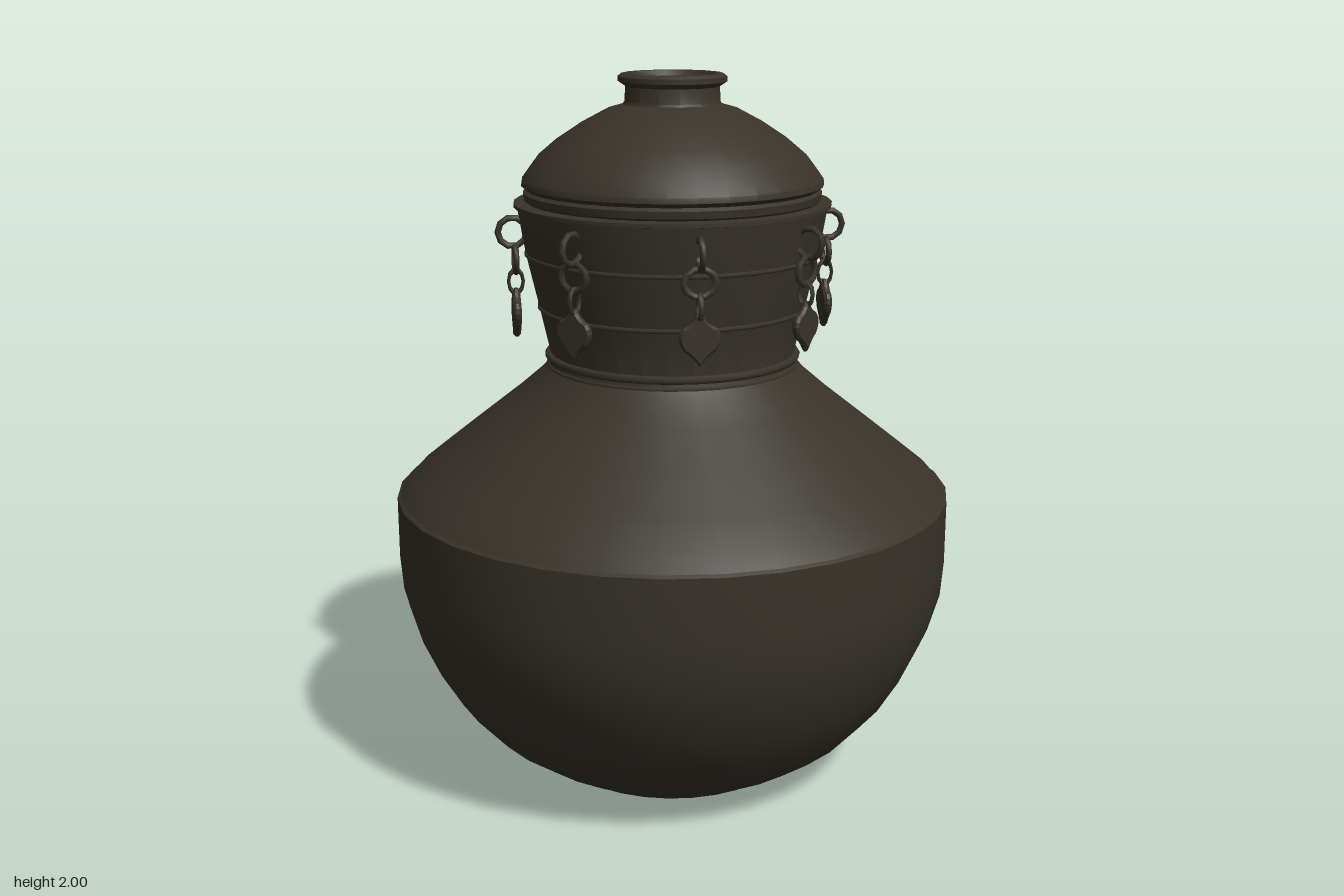
import * as THREE from 'three';
import { toCreasedNormals } from 'three/addons/utils/BufferGeometryUtils.js';

const bronze = new THREE.MeshStandardMaterial({ color: 0x38332a, side: THREE.DoubleSide });

function part(name, geometry, parent) {
  const mesh = new THREE.Mesh(geometry, bronze);
  mesh.name = name;
  parent.add(mesh);
  return mesh;
}

// Turned part from [radius, height] pairs, listed from bottom to top
function turned(name, profile, sides, parent) {
  const points = profile.map(([r, y]) => new THREE.Vector2(r, y));
  return part(name, toCreasedNormals(new THREE.LatheGeometry(points, sides), 0.5), parent);
}

// Flat leaf-shaped pendant with a pointed top and tip
function pendantGeometry() {
  const s = new THREE.Shape();
  s.moveTo(0, -0.072);
  s.quadraticCurveTo(0.022, -0.042, 0.042, -0.03);
  s.quadraticCurveTo(0.068, 0.005, 0.045, 0.03);
  s.quadraticCurveTo(0.015, 0.042, 0.01, 0.065);
  s.lineTo(-0.01, 0.065);
  s.quadraticCurveTo(-0.015, 0.042, -0.045, 0.03);
  s.quadraticCurveTo(-0.068, 0.005, -0.042, -0.03);
  s.quadraticCurveTo(-0.022, -0.042, 0, -0.072);
  const g = new THREE.ExtrudeGeometry(s, {
    depth: 0.008, curveSegments: 4, bevelEnabled: true,
    bevelThickness: 0.007, bevelSize: 0.006, bevelOffset: -0.006, bevelSegments: 1,
  });
  return g.translate(0, 0, -0.004);
}

export function createModel() {
  const model = new THREE.Group();
  model.name = 'lidded vessel';

  // Rounded bowl with a flat base
  turned('bowl', [
    [0, 0], [0.35, 0], [0.36, 0.012], [0.46, 0.065], [0.55, 0.13], [0.64, 0.23], [0.70, 0.33],
    [0.75, 0.44], [0.782, 0.55], [0.79, 0.65], [0.79, 0.825], [0.78, 0.832],
  ], 32, model);

  // Sloping shoulder
  turned('shoulder', [
    [0.785, 0.825], [0.75, 0.865], [0.67, 0.93], [0.57, 1.01], [0.45, 1.105],
    [0.38, 1.165], [0.355, 1.195],
  ], 32, model);

  // Flared collar and its raised bands
  turned('collar', [
    [0.355, 1.19], [0.345, 1.225], [0.375, 1.36], [0.41, 1.51], [0.432, 1.64],
    [0.442, 1.642], [0.442, 1.652], [0.40, 1.655],
  ], 32, model);
  for (const [r, y, t] of [[0.35, 1.222, 0.012], [0.35, 1.195, 0.008], [0.374, 1.36, 0.007], [0.408, 1.51, 0.007]]) {
    const band = part('collarBand', new THREE.TorusGeometry(r, t, 6, 32), model);
    band.rotation.x = Math.PI / 2;
    band.position.y = y;
  }

  // Domed lid with a stepped rim
  turned('lid', [
    [0.40, 1.65], [0.412, 1.66], [0.415, 1.68], [0.405, 1.688], [0.42, 1.70], [0.418, 1.715],
    [0.40, 1.74], [0.37, 1.78], [0.32, 1.822], [0.25, 1.868], [0.18, 1.905], [0.12, 1.922],
  ], 32, model);

  // Short hollow mouth on top
  turned('mouth', [
    [0.138, 1.915], [0.132, 1.925], [0.13, 1.965], [0.15, 1.978], [0.15, 1.992],
    [0.14, 2], [0.122, 2], [0.112, 1.985], [0.108, 1.92], [0, 1.915],
  ], 14, model);

  // Eight hanging pendants around the collar
  const loopGeometry = new THREE.TorusGeometry(0.04, 0.009, 6, 10);
  const linkGeometry = new THREE.TorusGeometry(0.037, 0.009, 6, 10);
  const plateGeometry = pendantGeometry();
  for (let i = 0; i < 8; i++) {
    const hanger = new THREE.Group();
    hanger.name = 'hanger';
    hanger.rotation.y = i * Math.PI / 4;
    model.add(hanger);

    const loop = part('loop', loopGeometry, hanger);
    loop.position.set(0, 1.575, 0.447);
    loop.rotation.y = Math.PI / 2;

    const link = part('link', linkGeometry, hanger);
    link.position.set(0, 1.5, 0.44);
    link.scale.x = 1.15;

    const eye = part('eye', linkGeometry, hanger);
    eye.position.set(0, 1.437, 0.44);
    eye.rotation.y = Math.PI / 2;
    eye.scale.set(0.55, 0.9, 0.9);

    part('pendant', plateGeometry, hanger).position.set(0, 1.352, 0.44);
  }
  return model;
}
